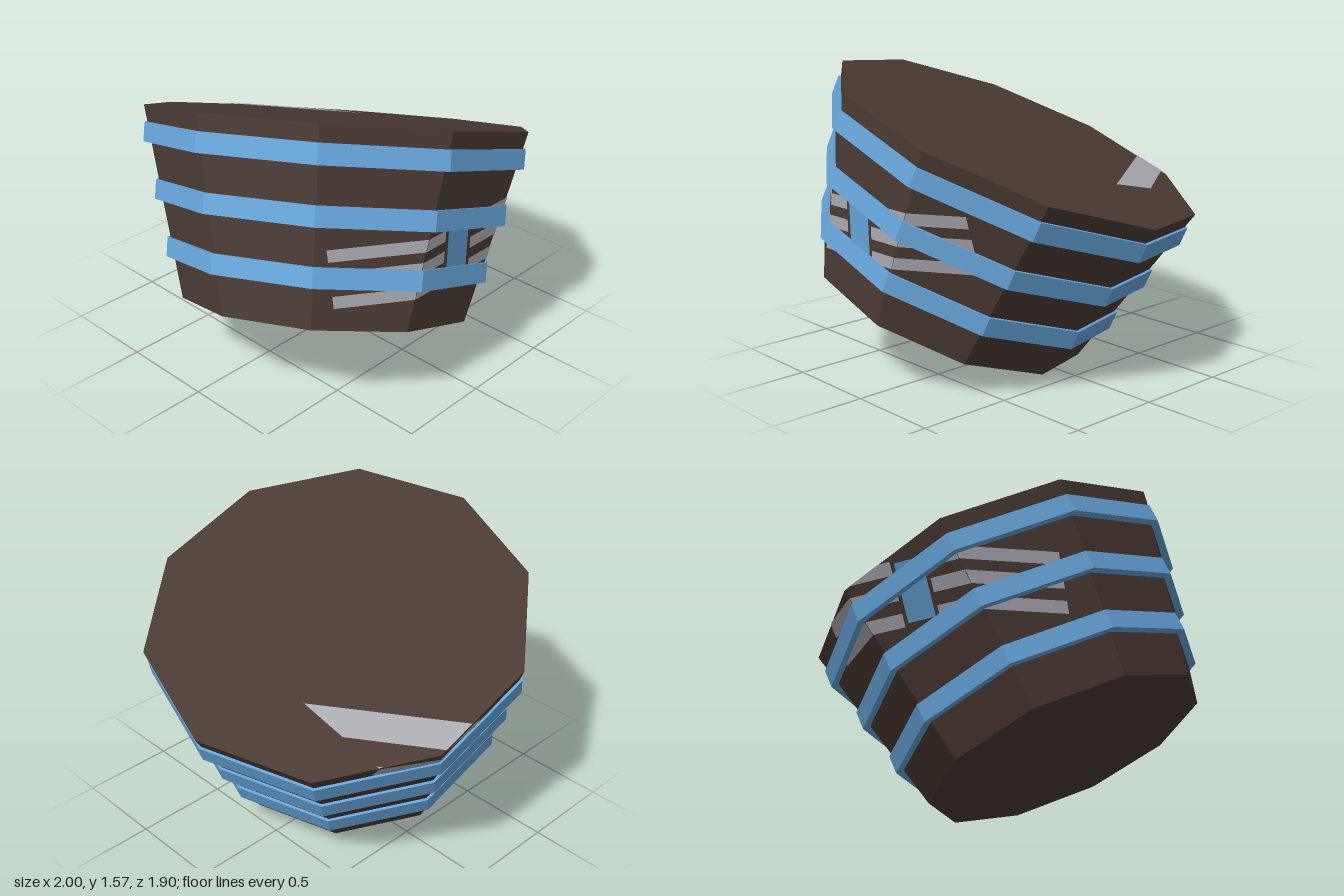
import * as THREE from 'three';

const SIDES = 10, HEIGHT = 0.976, TOP_R = 1.005, BOTTOM_R = 0.756;

const mat = (name, color) => {
  const m = new THREE.MeshStandardMaterial({ color });
  m.name = name;
  return m;
};

// Ten-sided drum with flat faces and a corner on the x axis
function drum(rTop, rBottom, h) {
  const g = new THREE.CylinderGeometry(rTop, rBottom, h, SIDES, 1, false, Math.PI / 2).toNonIndexed();
  g.computeVertexNormals();
  return g;
}

// Keep the part of a polygon where sign * (axis - limit) >= 0
function clip(poly, axis, limit, sign) {
  const out = [];
  poly.forEach((p, i) => {
    const q = poly[(i + 1) % poly.length];
    const dp = sign * (p[axis] - limit), dq = sign * (q[axis] - limit);
    if (dp >= 0) out.push(p);
    if (dp * dq < 0) out.push(p.clone().lerp(q, dp / (dp - dq)));
  });
  return out;
}

// Paint one x/y rectangle straight through onto the given faces
function paint(faces, [x0, x1, y0, y1]) {
  const pos = [];
  for (const face of faces) {
    const n = face[1].clone().sub(face[0]).cross(face[2].clone().sub(face[0])).normalize();
    let p = clip(face, 'x', x0, 1);
    p = clip(p, 'x', x1, -1);
    p = clip(p, 'y', y0, 1);
    p = clip(p, 'y', y1, -1);
    p = p.map(v => v.clone().addScaledVector(n, 0.004));
    for (let i = 1; i < p.length - 1; i++)
      for (const v of [p[0], p[i], p[i + 1]]) pos.push(v.x, v.y, v.z);
  }
  const g = new THREE.BufferGeometry();
  g.setAttribute('position', new THREE.Float32BufferAttribute(pos, 3));
  g.computeVertexNormals();
  return g;
}

export function createModel() {
  const root = new THREE.Group();
  root.name = 'tiltedTub';
  const wood = mat('dark brown', 0x4b3b34);
  const blue = mat('hoop blue', 0x66a5da);
  const grey = mat('stripe grey', 0xababb3);
  const add = (parent, name, geometry, material) => {
    const m = new THREE.Mesh(geometry, material);
    m.name = name;
    parent.add(m);
    return m;
  };

  // Tilted tub
  const tub = new THREE.Group();
  tub.name = 'tub';
  tub.position.set(-0.105, 0.74, 0.0875);
  tub.rotation.set(-0.2136, 0, -0.3313, 'ZXY');
  root.add(tub);
  add(tub, 'body', drum(TOP_R, BOTTOM_R, HEIGHT), wood);

  // Straight hoops: distance below the rim, radius
  [[0.085, 0.998], [0.372, 0.925], [0.664, 0.851]].forEach(([d, r], i) => {
    add(tub, 'hoop' + (i + 1), drum(r, r, 0.1), blue).position.y = HEIGHT / 2 - d - 0.05;
  });

  // Faces of the tub in model space
  tub.updateMatrix();
  const ring = (r, y) => Array.from({ length: SIDES }, (_, i) => {
    const a = i * 2 * Math.PI / SIDES;
    return new THREE.Vector3(r * Math.cos(a), y, r * Math.sin(a)).applyMatrix4(tub.matrix);
  });
  const top = ring(TOP_R, HEIGHT / 2), bottom = ring(BOTTOM_R, -HEIGHT / 2);
  const faces = top.map((t, i) => {
    const j = (i + 1) % SIDES;
    return [bottom[i], t, top[j], bottom[j]];
  });
  faces.push([...top].reverse());

  // Plain level stripes, broken by a blue band in the middle
  for (const [y0, y1] of [[0.91, 0.972], [0.795, 0.858], [0.675, 0.737]]) {
    add(root, 'rightStripe', paint(faces, [-0.71, -0.19, y0, y1]), grey);
    add(root, 'leftStripe', paint(faces, [0.0, 0.52, y0, y1]), grey);
  }
  add(root, 'middleBand', paint(faces, [-0.17, -0.02, 0.69, 0.96]), blue);

  return root;
}
